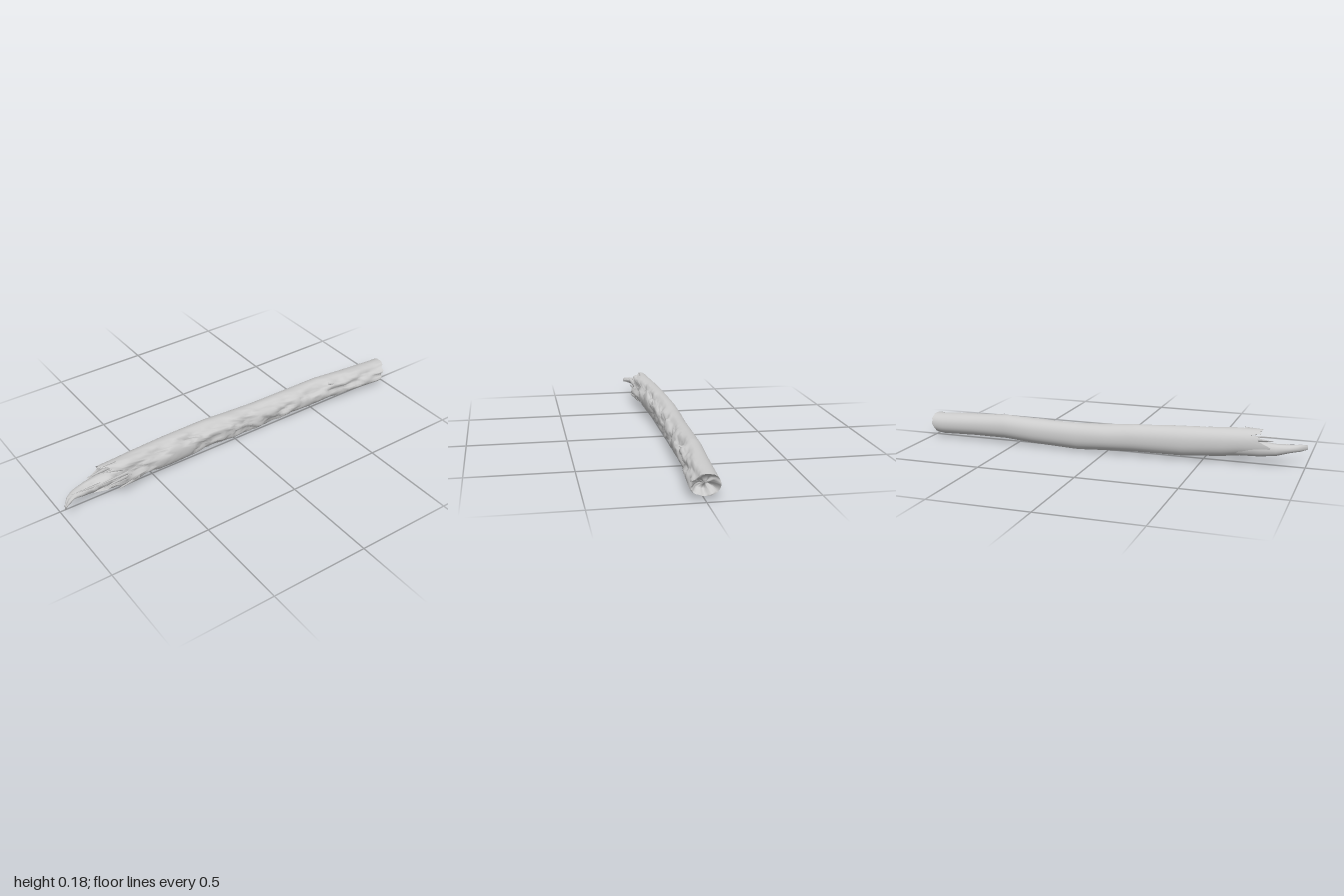
import * as THREE from 'three';

const SIDES = 36, STEPS = 110, TAU = Math.PI * 2;

// seeded hash and smooth value noise
const hash = (a, b = 0) => {
  const s = Math.sin(a * 127.1 + b * 311.7 + 4.3) * 43758.5453;
  return s - Math.floor(s);
};
const ease = t => t * t * (3 - 2 * t);
function noise(a, b) {
  const i = Math.floor(a), j = Math.floor(b), u = ease(a - i), v = ease(b - j);
  const low = hash(i, j) * (1 - u) + hash(i + 1, j) * u;
  const high = hash(i, j + 1) * (1 - u) + hash(i + 1, j + 1) * u;
  return low * (1 - v) + high * v;
}

// interpolate rows of [x, ...values]
function sample(rows, x) {
  let k = 0;
  while (k < rows.length - 2 && x > rows[k + 1][0]) k++;
  const a = rows[k], b = rows[k + 1];
  const t = THREE.MathUtils.clamp((x - a[0]) / (b[0] - a[0]), 0, 1);
  return a.slice(1).map((v, i) => v + (b[i + 1] - v) * t);
}

// x, bottom, top, back, front
const TRUNK = [
  [-0.86, 0.05, 0.165, -0.03, 0.07], [-0.78, 0.043, 0.177, -0.043, 0.075],
  [-0.68, 0.038, 0.176, -0.053, 0.08], [-0.6, 0.03, 0.173, -0.062, 0.062],
  [-0.4, 0.018, 0.168, -0.08, 0.045], [-0.15, 0.019, 0.16, -0.092, 0.035],
  [0, 0.013, 0.147, -0.096, 0.036], [0.15, 0.004, 0.142, -0.092, 0.033],
  [0.4, 0.014, 0.144, -0.087, 0.036], [0.56, 0.025, 0.15, -0.08, 0.042],
  [0.75, 0.023, 0.138, -0.071, 0.054], [0.94, 0.016, 0.128, -0.066, 0.066],
  [1, 0.025, 0.126, -0.062, 0.06],
];
const TONGUE = [
  [-1, 0.076, 0.098, 0.068, 0.084], [-0.97, 0.072, 0.107, 0.025, 0.066],
  [-0.93, 0.07, 0.108, -0.006, 0.046], [-0.86, 0.053, 0.112, -0.029, 0.036],
  [-0.78, 0.044, 0.12, -0.042, 0.04], [-0.6, 0.04, 0.13, -0.05, 0.035],
];
// where the broken shell ends, by angle from front over top and back
const BREAK = [-0.66, -0.70, -0.78, -0.76, -0.82, -0.85, -0.81, -0.71, -0.66]
  .map((x, i) => [i * TAU / 8, x]);

// point on a cross-section, with decayed hollows on the front
function point(rows, x, a, scale = 1, rough = 0.34) {
  const [y0, y1, z0, z1] = sample(rows, x);
  const front = ease(THREE.MathUtils.clamp(Math.cos(a - 0.05) * 1.1 + 0.05, 0, 1));
  const arc = a > Math.PI ? a - TAU : a;
  const pit = noise(x * 13 + 40, arc * 2.4 + 9) * 0.65 + noise(x * 34 + 80, arc * 5 + 30) * 0.35;
  const r = scale * (1 - rough * front * ease(THREE.MathUtils.clamp(pit * 1.8 - 0.5, 0, 1)));
  const squash = v => Math.sign(v) * Math.abs(v) ** 0.9;
  return [x, (y0 + y1) / 2 + (y1 - y0) / 2 * r * squash(Math.sin(a)),
    (z0 + z1) / 2 + (z1 - z0) / 2 * r * squash(Math.cos(a))];
}

// closed rings joined along +x
function loft(rings) {
  const n = rings[0].length, index = [];
  for (let i = 0; i < rings.length - 1; i++) {
    for (let j = 0; j < n; j++) {
      const a = i * n + j, b = i * n + (j + 1) % n;
      index.push(a, a + n, b, b, a + n, b + n);
    }
  }
  const g = new THREE.BufferGeometry();
  g.setAttribute('position', new THREE.Float32BufferAttribute(rings.flat(2), 3));
  g.setIndex(index);
  g.computeVertexNormals();
  return g;
}
const ring = (fn, n = SIDES) => Array.from({ length: n }, (_, j) => fn(j * TAU / n, j));

export function createModel() {
  const group = new THREE.Group();
  const wood = new THREE.MeshStandardMaterial({ color: 0xcccccc, side: THREE.DoubleSide });
  wood.name = 'pale grey wood';
  const add = (name, geometry) => {
    const mesh = new THREE.Mesh(geometry, wood);
    mesh.name = name;
    group.add(mesh);
    return mesh;
  };

  const leftX = (a, j) => sample(BREAK, a)[0] + (hash(j, 3) - 0.5) * 0.06;
  const rightX = (a, j) =>
    0.977 + 0.014 * Math.sin(a) - 0.012 * Math.cos(a) + (hash(j, 7) - 0.5) * 0.01;

  // long bent trunk with a jagged rim at either end
  const trunk = [];
  for (let i = 0; i <= STEPS; i++) {
    trunk.push(ring((a, j) =>
      point(TRUNK, THREE.MathUtils.lerp(leftX(a, j), rightX(a, j), i / STEPS), a)));
  }
  add('trunk', loft(trunk));

  // hollow inside the splintered end
  const hollow = [[-0.5, 0.02], [-0.53, 0.5], [-0.6, 0.78]].map(([x, s]) =>
    ring((a, j) => point(TRUNK, x + (hash(j, s * 10) - 0.5) * 0.03, a, s)));
  hollow.push(ring((a, j) => point(TRUNK, leftX(a, j) + 0.02, a, 0.88)), trunk[0]);
  add('hollow', loft(hollow));

  // rough recessed face at the snapped end
  const face = [trunk[STEPS]];
  for (const [s, depth] of [[0.86, 0.004], [0.62, 0.028], [0.3, 0.034], [0.01, 0.028]]) {
    face.push(ring((a, j) => {
      const p = point(TRUNK, rightX(a, j), a, s);
      const bump = s < 0.1 ? 0 : (noise(p[1] * 45, p[2] * 45 + 20) - 0.5) * 0.035;
      p[0] = (s < 0.1 ? 0.977 : p[0]) - depth + bump;
      return p;
    }));
  }
  add('snappedFace', loft(face));

  // heartwood tongue tapering to a curled tip
  const tongue = [];
  for (let i = 0; i <= 26; i++) {
    const x = -1 + 0.4 * (i / 26);
    tongue.push(ring(a => point(TONGUE, x, a, 1, 0.6), 16));
  }
  tongue.unshift(ring(() => [-1, 0.087, 0.076], 16));
  add('tongue', loft(tongue));

  // splinters: base, tip, half width, flatness
  const splinters = [
    [[-0.7, 0.166, 0.02], [-0.795, 0.176, 0.015], 0.016, 0.4],
    [[-0.68, 0.15, 0.045], [-0.79, 0.16, 0.035], 0.014, 0.5],
    [[-0.66, 0.12, 0.055], [-0.875, 0.125, 0.068], 0.011, 0.6],
    [[-0.64, 0.1, 0.05], [-0.81, 0.1, 0.07], 0.016, 0.5],
    [[-0.6, 0.065, 0.045], [-0.74, 0.062, 0.078], 0.02, 0.6],
    [[-0.7, 0.085, 0.02], [-0.95, 0.108, 0.035], 0.016, 0.5],
    [[-0.72, 0.13, -0.02], [-0.85, 0.125, -0.012], 0.015, 0.5],
  ];
  const up = new THREE.Vector3(0, 1, 0);
  const spike = (name, base, tip, r, flat) => {
    const a = new THREE.Vector3(...base), b = new THREE.Vector3(...tip);
    const d = b.clone().sub(a);
    const mesh = add(name, new THREE.ConeGeometry(r, d.length(), 6, 1));
    mesh.scale.z = flat;
    mesh.quaternion.setFromUnitVectors(up, d.normalize());
    mesh.position.copy(a.add(b).multiplyScalar(0.5));
  };
  splinters.forEach(s => spike('splinter', ...s));

  // small broken twig on the upper front
  spike('twigStub', [0.6, 0.122, 0.015], [0.615, 0.138, 0.05], 0.012, 0.8);
  return group;
}
